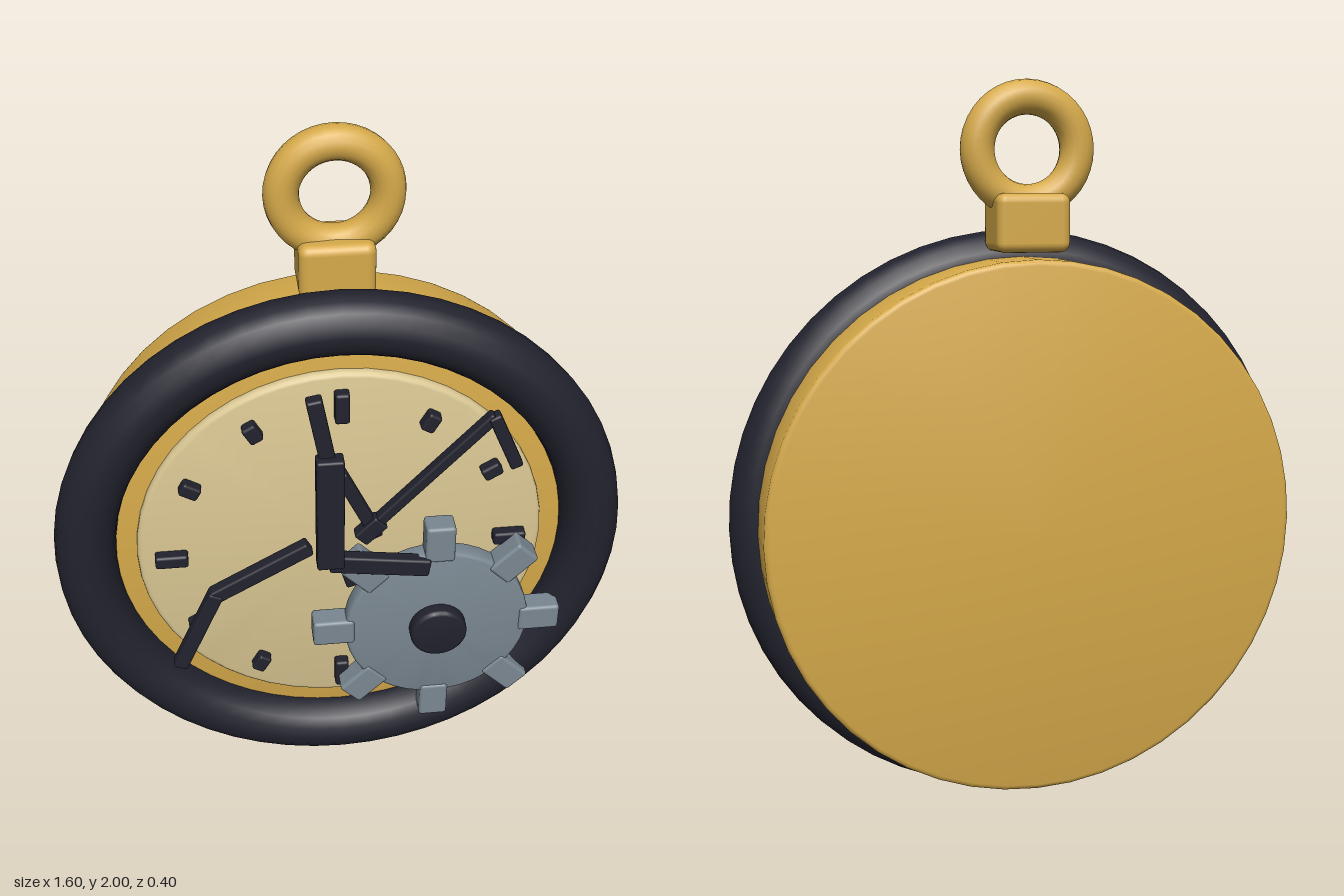
import * as THREE from 'three';
import { toCreasedNormals } from 'three/addons/utils/BufferGeometryUtils.js';
import { RoundedBoxGeometry } from 'three/addons/geometries/RoundedBoxGeometry.js';

const CENTER_Y = 0.805;

function material(name, color) {
  const m = new THREE.MeshStandardMaterial({ color });
  m.name = name;
  return m;
}

// Disc lying in the xy plane from z0 to z1, with rounded rims
function disc(radius, z0, z1, bevel, segments = 48) {
  const pts = [new THREE.Vector2(0, z0)];
  for (let i = 0; i <= 3; i++) {
    const a = (i / 3) * Math.PI / 2;
    pts.push(new THREE.Vector2(radius - bevel + bevel * Math.sin(a), z0 + bevel - bevel * Math.cos(a)));
  }
  for (let i = 0; i <= 3; i++) {
    const a = (i / 3) * Math.PI / 2;
    pts.push(new THREE.Vector2(radius - bevel + bevel * Math.cos(a), z1 - bevel + bevel * Math.sin(a)));
  }
  pts.push(new THREE.Vector2(0, z1));
  return toCreasedNormals(new THREE.LatheGeometry(pts, segments).rotateX(Math.PI / 2), 0.6);
}

export function createModel() {
  const model = new THREE.Group();
  model.name = 'pocketWatch';

  const gold = material('gold', 0xd6aa4a);
  const cream = material('cream', 0xdac793);
  const dark = material('dark', 0x22222e);
  const steel = material('steel', 0x7a8791);

  function add(parent, name, geometry, mat, x = 0, y = 0, z = 0) {
    const mesh = new THREE.Mesh(geometry, mat);
    mesh.name = name;
    mesh.position.set(x, y, z);
    parent.add(mesh);
    return mesh;
  }

  // Case, dial and bezel
  add(model, 'case', disc(0.73, -0.2, 0.05, 0.015), gold, 0, CENTER_Y);
  add(model, 'dial', disc(0.573, 0.03, 0.075, 0.015), cream, 0, CENTER_Y);
  add(model, 'bezel', new THREE.TorusGeometry(0.715, 0.085, 16, 56), dark, 0, CENTER_Y, 0.055);

  // Crown block and hanging ring
  add(model, 'crown', new RoundedBoxGeometry(0.2, 0.155, 0.168, 3, 0.025), gold, 0, 1.628, -0.08);
  add(model, 'hangingRing', new THREE.TorusGeometry(0.136, 0.046, 16, 40), gold, 0, 1.818, -0.08);

  // Hour marks, longer at the quarters
  const marks = new THREE.Group();
  marks.name = 'hourMarks';
  model.add(marks);
  for (let i = 0; i < 12; i++) {
    const a = (i / 12) * Math.PI * 2;
    const geometry = new RoundedBoxGeometry(i % 3 ? 0.055 : 0.092, 0.04, 0.045, 2, 0.008);
    const mark = add(marks, 'hourMark', geometry, dark,
      0.478 * Math.cos(a), CENTER_Y + 0.478 * Math.sin(a), 0.085);
    mark.rotation.z = a;
  }

  // Broken hands: each bar is x0, y0, x1, y1, width, back z, front z
  const hands = new THREE.Group();
  hands.name = 'brokenHands';
  model.add(hands);
  const bars = [
    ['hourHand', -0.04, 0.80, -0.04, 1.167, 0.076, 0.13, 0.18],
    ['hourHandTip', -0.035, 1.1, -0.08, 1.345, 0.044, 0.115, 0.155],
    ['lowerHand', -0.04, 0.812, 0.24, 0.772, 0.056, 0.135, 0.175],
    ['leftHandInner', -0.095, 0.853, -0.37, 0.697, 0.044, 0.11, 0.15],
    ['leftHandOuter', -0.36, 0.71, -0.478, 0.445, 0.042, 0.11, 0.153],
    ['longHand', 0.05, 0.875, 0.405, 1.253, 0.032, 0.11, 0.145],
    ['longHandBase', 0.045, 0.87, 0.105, 0.93, 0.05, 0.11, 0.15],
    ['longHandTip', 0.4, 1.255, 0.473, 1.085, 0.036, 0.11, 0.148],
    ['crossHand', -0.01, 1.09, 0.095, 0.87, 0.036, 0.1, 0.14],
    ['handStub', 0.01, 0.76, 0.03, 0.69, 0.04, 0.09, 0.13],
  ];
  for (const [name, x0, y0, x1, y1, width, z0, z1] of bars) {
    const length = Math.hypot(x1 - x0, y1 - y0);
    const bar = add(hands, name, new RoundedBoxGeometry(length, width, z1 - z0, 2, 0.007), dark,
      (x0 + x1) / 2, (y0 + y1) / 2, (z0 + z1) / 2);
    bar.rotation.z = Math.atan2(y1 - y0, x1 - x0);
  }

  // Loose gear with eight teeth and a dark hub
  const gear = new THREE.Group();
  gear.name = 'gear';
  gear.position.set(0.27, 0.545, 0);
  model.add(gear);
  add(gear, 'gearWheel', disc(0.267, 0.1, 0.16, 0.01, 40), steel);
  add(gear, 'gearHub', disc(0.082, 0.14, 0.2, 0.012, 28), dark);
  for (let i = 0; i < 8; i++) {
    const a = (i / 8) * Math.PI * 2;
    const tooth = add(gear, 'gearTooth', new RoundedBoxGeometry(0.12, 0.084, 0.07, 2, 0.01), steel,
      0.3 * Math.cos(a), 0.3 * Math.sin(a), 0.13);
    tooth.rotation.z = a;
  }

  return model;
}
